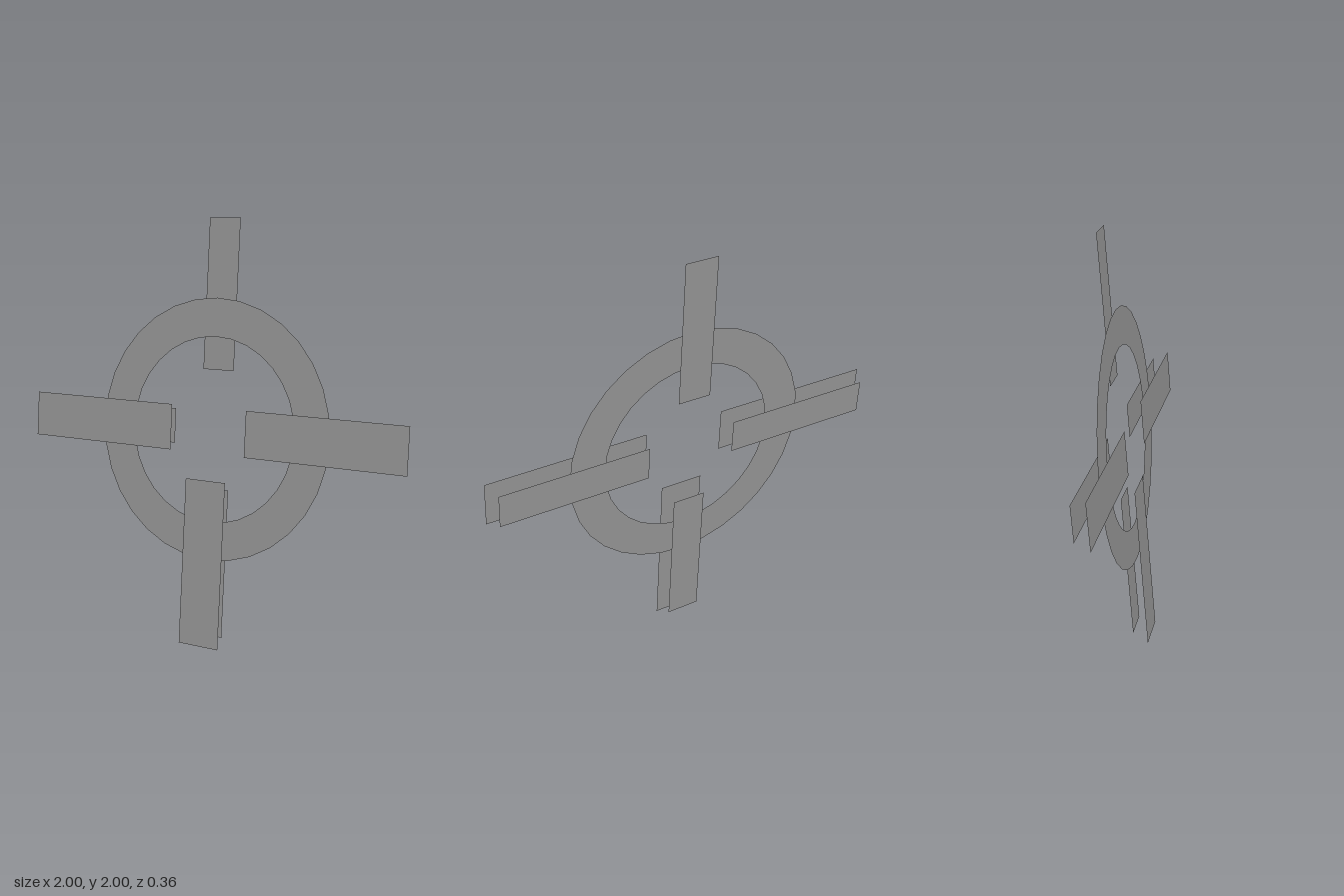
import * as THREE from 'three';

export function createModel() {
  const model = new THREE.Group();
  model.name = 'crosshair';
  const grey = new THREE.MeshStandardMaterial({ color: 0x999999, side: THREE.DoubleSide });
  grey.name = 'grey';

  // Everything lies in three parallel sheets, tilted together
  const sight = new THREE.Group();
  sight.name = 'tiltedSight';
  sight.rotation.set(-0.085, 0.137, 0, 'YXZ');
  sight.position.set(-0.006, 1.0225, -0.003);
  model.add(sight);

  const add = (name, geometry, x, y, z) => {
    const mesh = new THREE.Mesh(geometry, grey);
    mesh.name = name;
    mesh.position.set(x, y, z);
    sight.add(mesh);
  };
  // Flat rectangular bar between two local corners
  const bar = (name, x0, x1, y0, y1, z) =>
    add(name, new THREE.PlaneGeometry(x1 - x0, y1 - y0), (x0 + x1) / 2, (y0 + y1) / 2, z);

  // Ring in the middle sheet
  add('ring', new THREE.RingGeometry(0.437, 0.617, 32), 0, 0, 0);

  // Wide front bars and narrow back bars
  const layers = [
    { name: 'front', z: 0.037, half: 0.108, side: [0.202, 1.01], low: [0.236, 1.028] },
    { name: 'back', z: -0.037, half: 0.083, side: [0.227, 0.977], low: [0.281, 0.987] },
  ];
  for (const { name, z, half, side, low } of layers) {
    bar(name + 'LeftBar', side[0], side[1], -half, half, z);
    bar(name + 'RightBar', -side[1], -side[0], -half, half, z);
    bar(name + 'LowerBar', -half, half, -low[1], -low[0], z);
  }

  // The upper bar exists only in the back sheet
  bar('backUpperBar', -0.083, 0.083, 0.281, 0.987, -0.037);

  return model;
}
